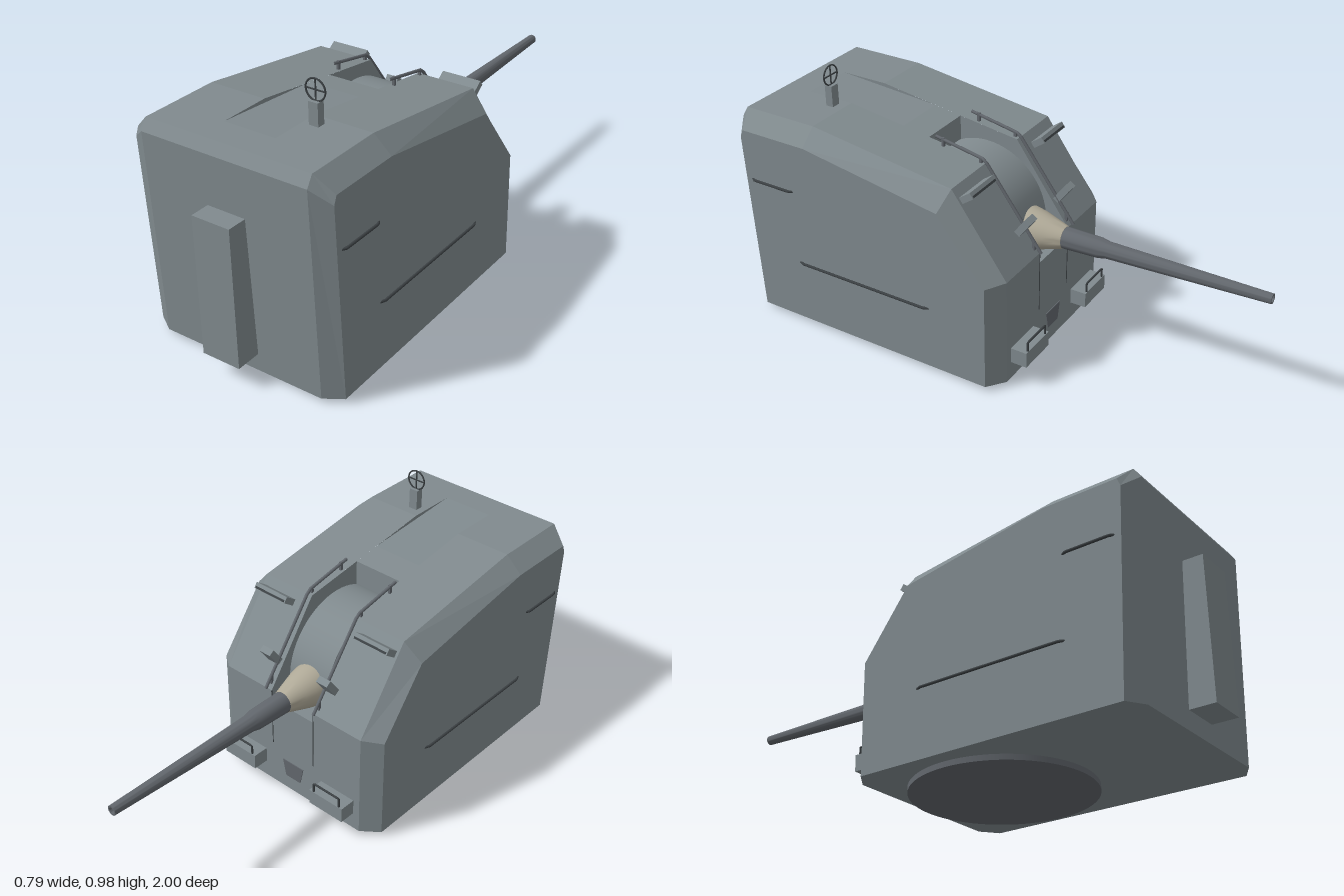
import * as THREE from 'three';
import { toCreasedNormals } from 'three/addons/utils/BufferGeometryUtils.js';

const paint = (color) => new THREE.MeshStandardMaterial({ color });
const HULL = paint(0x808a8e), STEEL = paint(0x62676d), DARK = paint(0x3c4144), CANVAS = paint(0xb0aa98);

function add(parent, name, geometry, material, x = 0, y = 0, z = 0) {
  const mesh = new THREE.Mesh(geometry, material);
  mesh.name = name;
  mesh.position.set(x, y, z);
  parent.add(mesh);
  return mesh;
}

const box = (w, h, d) => new THREE.BoxGeometry(w, h, d);

// Round bar through straight segments
function bar(parent, name, points, radius, material) {
  const path = new THREE.CurvePath();
  const v = points.map((p) => new THREE.Vector3(...p));
  for (let i = 1; i < v.length; i++) path.add(new THREE.LineCurve3(v[i - 1], v[i]));
  return add(parent, name, new THREE.TubeGeometry(path, 24, radius, 8), material);
}

// Faceted gun house with chamfered edges and an open gun slot
function hullGeometry() {
  const W = 0.385, C = 0.32, S = 0.1;
  // [z, y] outlines: outer side plate and inner roof/end plates
  const side = [[0.865, 0.02], [0.897, 0.73], [0.885, 0.76], [0.61, 0.76], [0.05, 0.67], [-0.135, 0.43], [-0.135, 0.02]];
  const main = [[0.905, 0.02], [0.935, 0.78], [0.91, 0.82], [0.61, 0.82], [0.03, 0.74], [-0.185, 0.44], [-0.185, 0.02]];
  const mid = [[0.905, 0.02], [0.935, 0.78], [0.91, 0.82], [0.8, 0.82], [0.38, 0.788], [0.27, 0.773], [0.27, 0.4], [-0.185, 0.4], [-0.185, 0.02]];
  const pos = [];
  // Adds a convex polygon, turned so that it faces along the hint
  const face = (pts, hint) => {
    const p = pts.map((a) => new THREE.Vector3(...a));
    const h = new THREE.Vector3(...hint);
    for (let i = 2; i < p.length; i++) {
      const n = p[i - 1].clone().sub(p[0]).cross(p[i].clone().sub(p[0]));
      const t = n.dot(h) < 0 ? [p[0], p[i], p[i - 1]] : [p[0], p[i - 1], p[i]];
      t.forEach((q) => pos.push(q.x, q.y, q.z));
    }
  };
  const at = (x) => ([z, y]) => [x, y, z];
  // Outward direction of an outline edge
  const out = (a, b, x = 0) => [x, b[0] <= a[0] ? a[0] - b[0] : 0, b[1] - a[1]];
  for (const s of [-1, 1]) {
    face(side.map(at(s * W)), [s, 0, 0]);
    for (let i = 0; i < main.length; i++) {
      const j = (i + 1) % main.length, a = main[i], b = main[j];
      const n = j === 0 ? [0, -1, 0] : out(a, b);
      const edge = j === 0 ? n : out(a, b, s * 0.1);
      face([at(s * W)(side[i]), at(s * C)(a), at(s * C)(b), at(s * W)(side[j])], edge);
      face([at(s * C)(a), at(s * S)(a), at(s * S)(b), at(s * C)(b)], n);
    }
    // Inner walls of the slot and of the shallow roof dip
    face([[0.27, 0.773], [0.03, 0.74], [-0.185, 0.44], [-0.185, 0.4], [0.27, 0.4]].map(at(s * S)), [-s, 0, 0]);
    face([[0.8, 0.82], [0.61, 0.82], [0.38, 0.788]].map(at(s * S)), [-s, 0, 0]);
  }
  for (let i = 0; i < mid.length; i++) {
    const j = (i + 1) % mid.length, a = mid[i], b = mid[j];
    const n = j === 0 ? [0, -1, 0] : i === 5 ? [0, 0, -1] : out(a, b);
    face([at(-S)(a), at(S)(a), at(S)(b), at(-S)(b)], n);
  }
  const g = new THREE.BufferGeometry();
  g.setAttribute('position', new THREE.Float32BufferAttribute(pos, 3));
  g.computeVertexNormals();
  return g;
}

const lathe = (points) =>
  toCreasedNormals(new THREE.LatheGeometry(points.map((p) => new THREE.Vector2(...p)), 32), 0.5);

export function createModel() {
  const model = new THREE.Group();
  model.name = 'gunTurret';

  add(model, 'gunHouse', hullGeometry(), HULL);
  add(model, 'turretRing', new THREE.CylinderGeometry(0.325, 0.325, 0.022, 64), STEEL, 0, 0.011, 0.165);
  add(model, 'rearLocker', box(0.147, 0.509, 0.1), HULL, 0, 0.342, 0.95);

  // Curved shield inside the slot
  const drum = new THREE.CylinderGeometry(0.25, 0.25, 0.18, 64);
  add(model, 'gunShield', drum, HULL, 0, 0.46, 0.15).rotation.z = Math.PI / 2;

  // Gun, slightly elevated, pointing to -z
  const gun = new THREE.Group();
  gun.name = 'gun';
  gun.position.y = 0.462;
  gun.rotation.x = -Math.PI / 2 + 0.02;
  model.add(gun);
  add(gun, 'barrel', lathe([[0, 0], [0.04, 0], [0.04, 0.24], [0.037, 0.37], [0.031, 0.4], [0.018, 1],
    [0.012, 1], [0.012, 0.94], [0, 0.94]]), STEEL);
  add(gun, 'barrelBoot', lathe([[0, 0.05], [0.083, 0.05], [0.08, 0.09], [0.072, 0.13], [0.06, 0.17],
    [0.048, 0.21], [0.041, 0.232], [0.036, 0.234]]), CANVAS);

  // Lower front vent and panel seams
  const vent = new THREE.Shape([[-0.05, 0.15], [-0.035, 0.08], [0.035, 0.08], [0.05, 0.15]]
    .map((p) => new THREE.Vector2(...p)));
  add(model, 'frontVent', new THREE.ExtrudeGeometry(vent, { depth: 0.004, bevelEnabled: false }), STEEL, 0, 0, -0.188);

  const slope = Math.atan2(0.215, 0.3);
  for (const s of [-1, 1]) {
    add(model, 'panelSeam', box(0.003, 0.24, 0.003), DARK, s * 0.1, 0.32, -0.185);

    // Hoods and small sight blocks standing on the sloped front
    const hood = add(model, 'visorHood', box(0.15, 0.024, 0.055), HULL, s * 0.235, 0.713, -0.02);
    hood.rotation.x = slope;
    const slit = add(hood, 'visorSlit', box(0.14, 0.008, 0.004), DARK, 0, 0, -0.027);
    slit.position.y = -0.006;
    add(model, 'sightBlock', box(0.05, 0.025, 0.075), HULL, s * 0.135, 0.56, -0.148).rotation.x = 0.95;

    // Guard rails beside the slot
    bar(model, 'slotRail', [[s * 0.115, 0.795, 0.23], [s * 0.115, 0.757, 0.03], [s * 0.115, 0.45, -0.2]], 0.006, STEEL);
    for (const [y, z] of [[0.778, 0.2], [0.745, 0.045], [0.475, -0.17]])
      add(model, 'railFoot', box(0.01, 0.035, 0.01), STEEL, s * 0.115, y, z);

    // Front step boxes with handles
    add(model, 'frontStep', box(0.155, 0.06, 0.066), HULL, s * 0.215, 0.12, -0.215);
    bar(model, 'stepHandle', [[s * 0.155, 0.14, -0.243], [s * 0.155, 0.186, -0.243],
      [s * 0.275, 0.186, -0.243], [s * 0.275, 0.14, -0.243]], 0.004, DARK);

    // Side grab rails
    for (const [y, z0, z1] of [[0.27, 0.11, 0.66], [0.567, 0.69, 0.85]])
      bar(model, 'sideRail', [[s * 0.38, y, z0 - 0.015], [s * 0.39, y, z0], [s * 0.39, y, z1], [s * 0.38, y, z1 + 0.015]], 0.005, DARK);
  }

  // Ring sight on its roof post
  add(model, 'sightPost', box(0.036, 0.08, 0.03), HULL, 0.145, 0.86, 0.66);
  add(model, 'sightRing', new THREE.TorusGeometry(0.037, 0.003, 8, 40), DARK, 0.145, 0.936, 0.66);
  add(model, 'sightCross', box(0.074, 0.004, 0.004), DARK, 0.145, 0.936, 0.66);
  add(model, 'sightCross', box(0.004, 0.074, 0.004), DARK, 0.145, 0.936, 0.66);

  return model;
}
